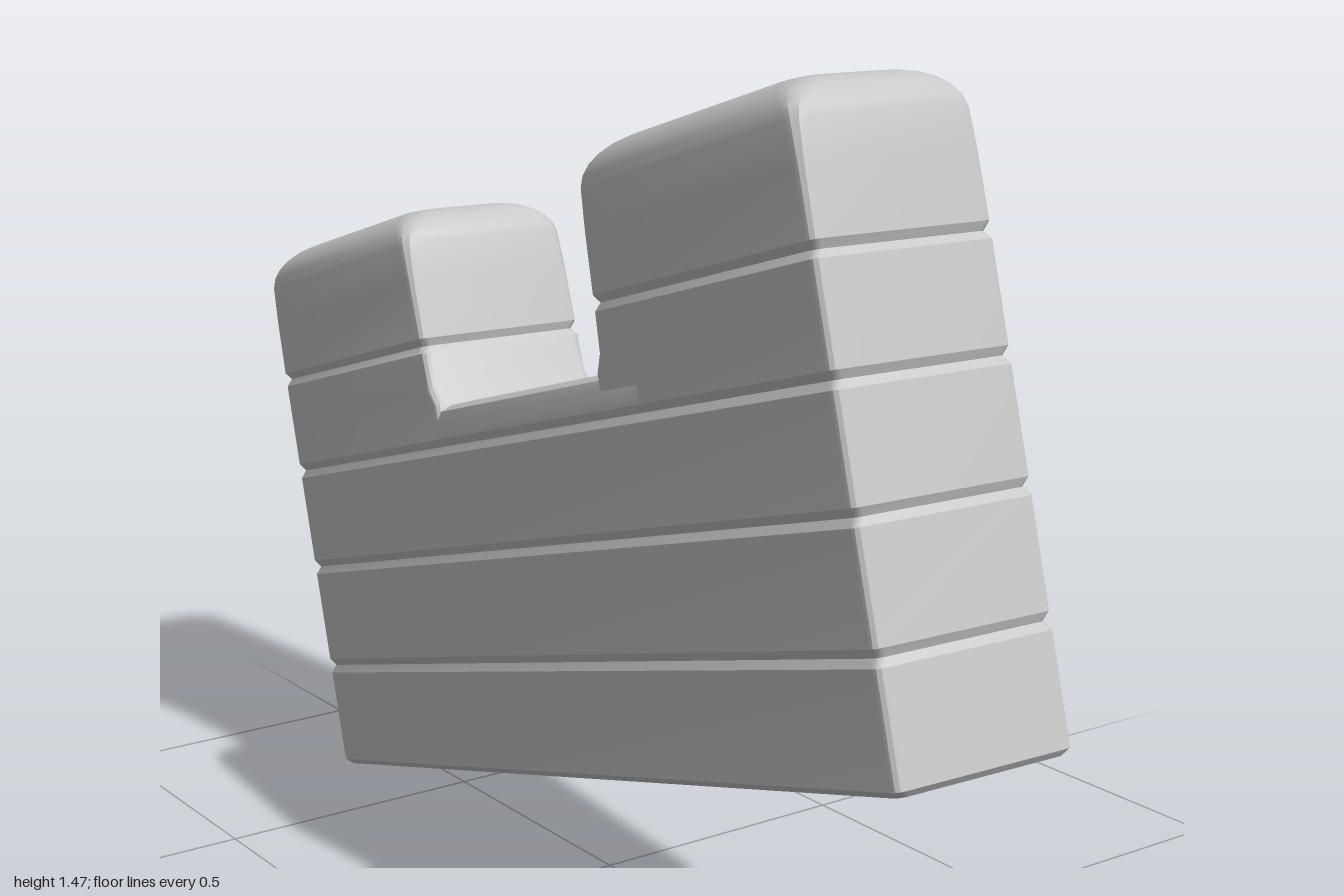
import * as THREE from 'three';
import { toCreasedNormals } from 'three/addons/utils/BufferGeometryUtils.js';

const HALF_LENGTH = 0.893, HALF_DEPTH = 0.168;
const SEAM = 0.595;       // course joint where the merlons start
const NOTCH = 0.67;       // height of the sill between the merlons

// Closed solid from rounded-rectangle rings; ring = { y, x0, x1, hz, r }
function loft(rings, dome = 0) {
  const pos = [], idx = [], steps = 3, n = 4 * (steps + 1);
  for (const { y, x0, x1, hz, r } of rings) {
    for (let c = 0; c < 4; c++) {
      const right = c === 0 || c === 3, front = c < 2;
      const cx = right ? x1 - r : x0 + r, cz = front ? hz - r : r - hz;
      for (let s = 0; s <= steps; s++) {
        const t = (c + s / steps) * Math.PI / 2;
        pos.push(cx + r * Math.cos(t), y, cz + r * Math.sin(t));
      }
    }
  }
  const cap = (ring, lift) => {
    pos.push((ring.x0 + ring.x1) / 2, ring.y + lift, 0);
    return pos.length / 3 - 1;
  };
  const last = rings.length - 1;
  const bottom = cap(rings[0], 0), top = cap(rings[last], dome);
  for (let j = 0; j < n; j++) {
    const k = (j + 1) % n;
    for (let i = 0; i < last; i++) {
      const a = i * n + j, b = i * n + k;
      idx.push(a, a + n, b, b, a + n, b + n);
    }
    idx.push(bottom, j, k, top, last * n + k, last * n + j);
  }
  const g = new THREE.BufferGeometry();
  g.setAttribute('position', new THREE.Float32BufferAttribute(pos, 3));
  g.setIndex(idx);
  return toCreasedNormals(g, 0.5);
}

export function createModel() {
  const stone = new THREE.MeshStandardMaterial({ color: 0xc8c8c8 });
  stone.name = 'light grey stone';
  const wall = new THREE.Group();
  wall.name = 'wall';
  const add = (name, geometry) => {
    const m = new THREE.Mesh(geometry, stone);
    m.name = name;
    wall.add(m);
  };

  const full = (y, inset) => ({
    y, x0: inset - HALF_LENGTH, x1: HALF_LENGTH - inset, hz: HALF_DEPTH - inset, r: 0.015,
  });

  // Lower wall with shallow joints between the stone courses
  const body = [full(0, 0.01), full(0.01, 0)];
  for (const y of [0.2, 0.4]) body.push(full(y - 0.014, 0), full(y, 0.008), full(y + 0.014, 0));
  body.push(full(SEAM - 0.014, 0), full(SEAM, 0.008));
  add('lowerWall', loft(body));

  // Sill between the merlons, with softened front and back edges
  const sill = (y, inset) => ({ y, x0: -0.4, x1: 0.4, hz: HALF_DEPTH - inset, r: 0.01 });
  add('sill', loft([
    sill(SEAM, 0.008), sill(SEAM + 0.014, 0), sill(NOTCH - 0.03, 0),
    sill(NOTCH - 0.012, 0.008), sill(NOTCH - 0.003, 0.03), sill(NOTCH, 0.07),
  ]));

  // Merlons: one joint, then a rounded top
  const merlonRings = (side) => {
    const ring = (y, inner, ix, iz, r) => ({
      y, hz: HALF_DEPTH - iz, r,
      x0: side > 0 ? inner + ix : ix - HALF_LENGTH,
      x1: side > 0 ? HALF_LENGTH - ix : -inner - ix,
    });
    const rings = [
      ring(SEAM, 0.27, 0.008, 0.008, 0.015), ring(SEAM + 0.014, 0.27, 0, 0, 0.015),
      ring(NOTCH, 0.272, 0, 0, 0.015), ring(NOTCH + 0.03, 0.288, 0, 0, 0.015),
      ring(0.767, 0.293, 0, 0, 0.015), ring(0.78, 0.293, 0.008, 0.008, 0.015),
      ring(0.794, 0.294, 0, 0, 0.015), ring(0.9, 0.298, 0, 0, 0.018),
    ];
    for (let i = 0; i <= 6; i++) {
      const t = i / 6 * Math.PI / 2, inset = 1 - Math.cos(t);
      rings.push(ring(0.965 + 0.07 * Math.sin(t), 0.3, 0.07 * inset, 0.085 * inset, 0.025 + 0.02 * Math.sin(t)));
    }
    return rings;
  };
  add('leftMerlon', loft(merlonRings(1), 0.01));
  add('rightMerlon', loft(merlonRings(-1), 0.01));

  // The whole piece leans to one side and is turned slightly
  wall.rotation.set(0, -0.033, 0.284, 'YXZ');
  wall.position.set(0.135, 0.252, 0.003);
  const model = new THREE.Group();
  model.name = 'battlement';
  model.add(wall);
  return model;
}
